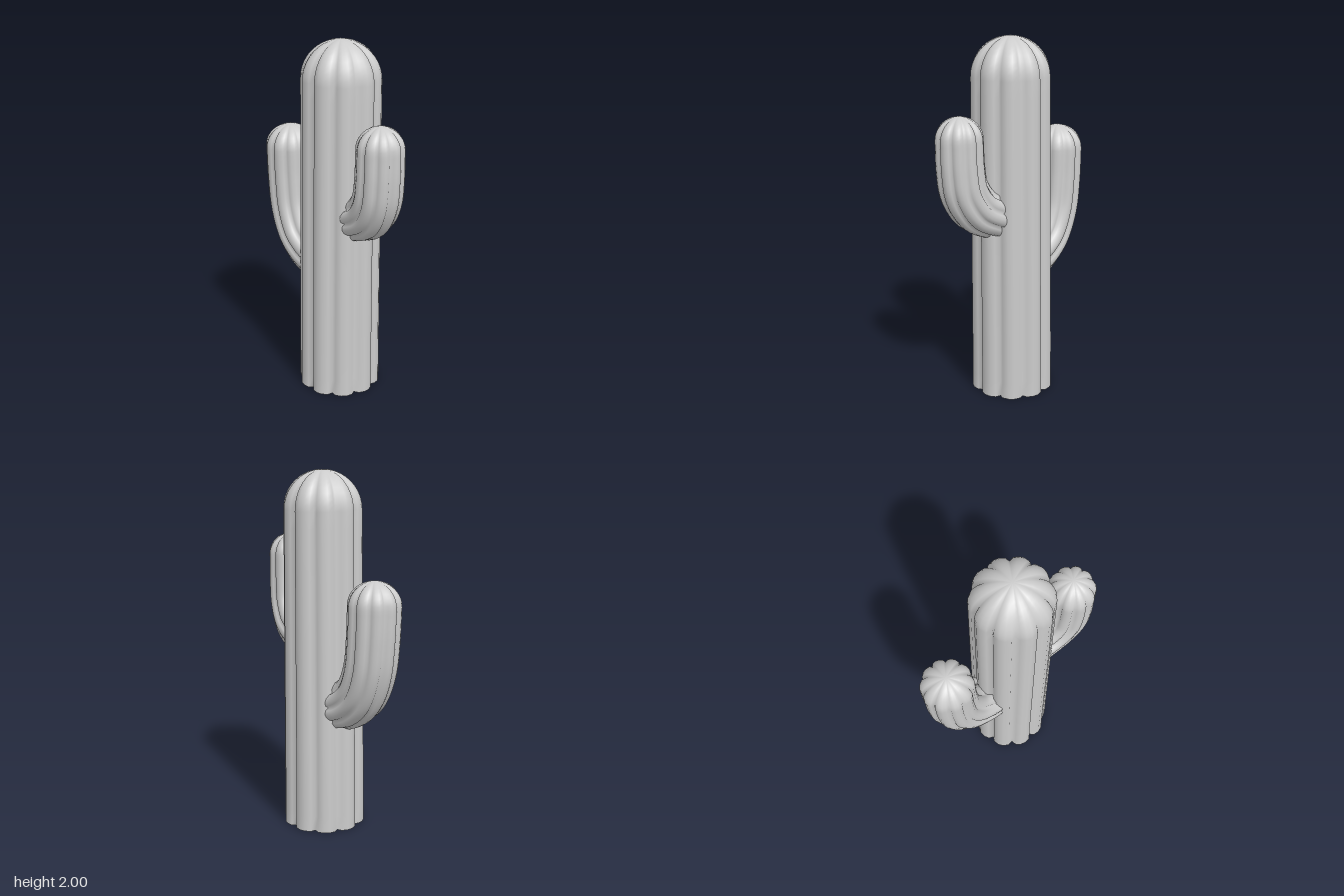
import * as THREE from 'three';

const RIBS = 10;
// One rib: [angle from rib centre in degrees, share of the radius]
const RIB = [[-18, 0.86], [-12.5, 0.96], [-4, 1], [4, 1], [12.5, 0.96]];

// Ribbed outline of unit radius in the xz plane
const outline = [];
for (let r = 0; r < RIBS; r++) {
  for (const [deg, s] of RIB) {
    const a = THREE.MathUtils.degToRad((r * 360) / RIBS + deg);
    outline.push(new THREE.Vector3(Math.cos(a) * s, 0, Math.sin(a) * s));
  }
}

// Sweeps the ribbed outline along a path and closes it with a dome
function ribbedStem(name, points, r0, r1, domeHeight, steps) {
  const curve = new THREE.CatmullRomCurve3(points.map((p) => new THREE.Vector3(...p)));
  const up = new THREE.Vector3(0, 1, 0);
  const rings = [];
  for (let i = 0; i <= steps; i++) {
    const t = i / steps;
    rings.push({
      centre: curve.getPointAt(t),
      dir: curve.getTangentAt(t),
      radius: THREE.MathUtils.lerp(r0, r1, t),
    });
  }
  const end = rings[steps];
  const domeSteps = 10;
  for (let i = 1; i < domeSteps; i++) {
    const a = (i / domeSteps) * Math.PI / 2;
    rings.push({
      centre: end.centre.clone().addScaledVector(up, Math.sin(a) * domeHeight),
      dir: up,
      radius: r1 * Math.cos(a),
    });
  }

  const pos = [], index = [], n = outline.length;
  const q = new THREE.Quaternion();
  const addRing = ({ centre, dir, radius }) => {
    q.setFromUnitVectors(up, dir);
    for (const p of outline) {
      const v = p.clone().multiplyScalar(radius).applyQuaternion(q).add(centre);
      pos.push(v.x, v.y, v.z);
    }
  };
  rings.forEach(addRing);
  for (let j = 0; j < rings.length - 1; j++) {
    for (let i = 0; i < n; i++) {
      const a = j * n + i, b = j * n + ((i + 1) % n);
      index.push(a, a + n, b, b, a + n, b + n);
    }
  }
  // Dome tip
  const tip = pos.length / 3, last = (rings.length - 1) * n;
  pos.push(end.centre.x, end.centre.y + domeHeight, end.centre.z);
  for (let i = 0; i < n; i++) index.push(last + i, tip, last + ((i + 1) % n));
  // Flat end with its own vertices, so the rim stays sharp
  const base = pos.length / 3;
  addRing(rings[0]);
  pos.push(...rings[0].centre.toArray());
  for (let i = 0; i < n; i++) index.push(base + n, base + i, base + ((i + 1) % n));

  const geo = new THREE.BufferGeometry();
  geo.setAttribute('position', new THREE.Float32BufferAttribute(pos, 3));
  geo.setIndex(index);
  geo.computeVertexNormals();
  const mesh = new THREE.Mesh(geo, new THREE.MeshStandardMaterial({ color: 0xcccccc }));
  mesh.name = name;
  return mesh;
}

export function createModel() {
  const group = new THREE.Group();
  group.name = 'cactus';
  group.add(
    ribbedStem('trunk',
      [[0.033, 0, 0], [0.033, 0.2, 0], [0.038, 1, 0], [0.043, 1.79, 0]],
      0.232, 0.216, 0.21, 20),
    ribbedStem('rightArm',
      [[-0.11, 0.725, 0], [-0.18, 0.745, 0], [-0.285, 0.825, -0.003], [-0.355, 0.97, -0.008],
        [-0.38, 1.15, -0.01], [-0.387, 1.325, -0.01]],
      0.143, 0.144, 0.13, 28),
    ribbedStem('leftArm',
      [[0.16, 1.055, 0.012], [0.215, 1.07, 0.018], [0.31, 1.12, 0.035], [0.375, 1.22, 0.052],
        [0.395, 1.34, 0.058], [0.4, 1.5, 0.06]],
      0.136, 0.127, 0.12, 28),
  );
  return group;
}
